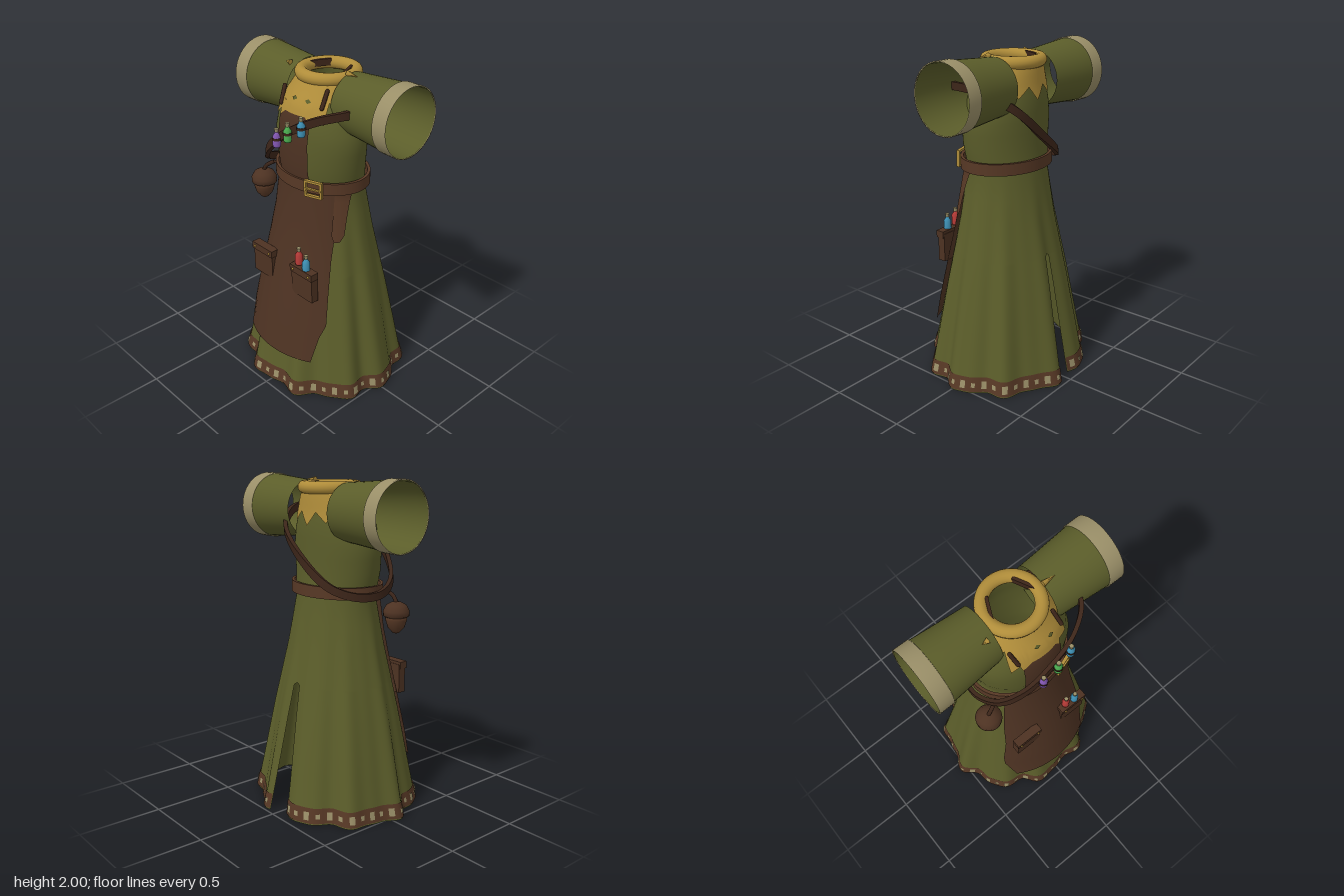
import * as THREE from 'three';
import { toCreasedNormals } from 'three/addons/utils/BufferGeometryUtils.js';

const material = (name, color) => new THREE.MeshStandardMaterial({ name, color, side: THREE.DoubleSide });
const M = {
  cloth: material('olive cloth', 0x5b5d2a),
  apron: material('apron leather', 0x4d3222),
  belt: material('belt leather', 0x573825),
  dark: material('dark leather', 0x3c2519),
  linen: material('pale linen', 0x9a8f68),
  gold: material('golden wool', 0xb08d3a),
  brass: material('brass', 0x92742c),
  red: material('red glass', 0xb83c38),
  blue: material('blue glass', 0x3f93b8),
  green: material('green glass', 0x4cae50),
};
const purple = material('purple glass', 0x8458b4);
// the brass fittings share the wool colour family, so the palette stays at ten
M.purple = purple;
M.brass = M.gold;

// robe sections: height, half width, half depth, centre z
const SECTIONS = [
  [0, 0.52, 0.46, 0], [0.1, 0.5, 0.44, 0], [0.6, 0.405, 0.347, 0], [1, 0.32, 0.264, 0],
  [1.3, 0.267, 0.215, 0], [1.45, 0.29, 0.222, 0.015], [1.6, 0.302, 0.224, 0.015],
  [1.7, 0.278, 0.22, 0.01], [1.8, 0.235, 0.2, 0], [1.88, 0.192, 0.172, -0.025], [1.94, 0.155, 0.152, -0.04],
];

function section(y) {
  let i = 0;
  while (i < SECTIONS.length - 2 && y > SECTIONS[i + 1][0]) i++;
  const a = SECTIONS[i], b = SECTIONS[i + 1], t = (y - a[0]) / (b[0] - a[0]);
  return a.map((v, k) => v + (b[k] - v) * t);
}

// point on the robe; angle 0 is the front, growing toward +x
function onRobe(angle, y, off = 0, folded = true) {
  const [, rx, rz, cz] = section(y);
  const amp = folded ? 0.03 * Math.pow(Math.max(0, 1 - y / 1.25), 1.1) : 0;
  const wave = amp * (0.75 * Math.cos(10 * (angle - 0.4)) + 0.3 * Math.sin(17 * angle + 1)) + off;
  return [Math.sin(angle) * (rx + wave), y, Math.cos(angle) * (rz + wave) + cz];
}
const atX = (x, y, off) => onRobe(Math.asin(x / section(y)[1]), y, off, false);

// surface from a rule fn(u, v) with u, v in 0..1
function grid(nu, nv, fn) {
  const pos = [], index = [];
  for (let j = 0; j <= nv; j++) for (let i = 0; i <= nu; i++) pos.push(...fn(i / nu, j / nv));
  for (let j = 0; j < nv; j++) for (let i = 0; i < nu; i++) {
    const a = j * (nu + 1) + i, b = a + nu + 1;
    index.push(a, a + 1, b, a + 1, b + 1, b);
  }
  const g = new THREE.BufferGeometry();
  g.setAttribute('position', new THREE.Float32BufferAttribute(pos, 3));
  g.setIndex(index);
  g.computeVertexNormals();
  return g;
}

// rectangular leather band along a closed curve around the body
function band(points, width, thick) {
  const curve = new THREE.CatmullRomCurve3(points.map(p => new THREE.Vector3(...p)), true);
  const corners = [[-1, 1], [1, 1], [1, -1], [-1, -1], [-1, 1]];
  return toCreasedNormals(grid(96, 4, (u, v) => {
    const p = curve.getPointAt(u % 1), t = curve.getTangentAt(u % 1);
    const n = new THREE.Vector3(p.x, 0, p.z).addScaledVector(t, -t.dot(new THREE.Vector3(p.x, 0, p.z))).normalize();
    const w = n.clone().cross(t), c = corners[Math.round(v * 4)];
    return p.addScaledVector(w, c[0] * width / 2).addScaledVector(n, c[1] * thick / 2).toArray();
  }), 0.7);
}

const lathe = (pts, n = 24) => new THREE.LatheGeometry(pts.map(p => new THREE.Vector2(...p)), n);

export function createModel() {
  const model = new THREE.Group();
  const add = (name, geo, mat, pos = [0, 0, 0], rot = [0, 0, 0], parent = model) => {
    const m = new THREE.Mesh(geo, mat);
    m.name = name;
    m.position.set(...pos);
    m.rotation.set(...rot);
    parent.add(m);
    return m;
  };

  // robe with a slit at the back
  const slit = y => (y < 0.79 ? (0.016 + 0.036 * (1 - y / 0.79)) / section(y)[2] : 0);
  const around = (u, y, off) => onRobe((2 * u - 1) * (Math.PI - slit(y)), y, off);
  const ys = [0, 0.05, 0.1, 0.25, 0.4, 0.6, 0.78, 0.795, 1, 1.15, 1.3, 1.38, 1.45, 1.53, 1.6, 1.65, 1.7, 1.75, 1.8, 1.84, 1.88, 1.94];
  add('robe', grid(180, ys.length - 1, (u, v) => around(u, ys[Math.round(v * (ys.length - 1))], 0)), M.cloth);

  // hem trim with stitched motifs
  add('hemTrim', grid(180, 2, (u, v) => around(u, 0.01 + 0.09 * v, 0.006)), M.belt);
  for (let i = 0; i < 44; i++) {
    const c = (i + 0.5) / 44, w = i % 2 ? 0.004 : 0.0055, h = i % 2 ? 0.014 : 0.024;
    add('hemMotif', grid(4, 1, (u, v) => around(c + (u - 0.5) * 2 * w, 0.054 + (v - 0.5) * 2 * h, 0.011)), M.linen);
  }

  // sleeves and cuffs
  for (const s of [-1, 1]) {
    const rot = [0, 0, -s * Math.PI / 2], pos = [0, 1.8, -0.05];
    add('sleeve', lathe([[0.168, 0.18], [0.175, 0.28], [0.186, 0.42], [0.194, 0.52], [0.195, 0.608]], 48), M.cloth, pos, rot);
    add('cuff', lathe([[0.195, 0.515], [0.2, 0.518], [0.201, 0.61], [0.195, 0.61]], 48), M.linen, pos, rot);
  }

  // ragged mantle: angle in degrees, lower edge height
  const RAGS = [[-180, 1.72], [-165, 1.8], [-150, 1.74], [-135, 1.82], [-115, 1.77], [-90, 1.85], [-65, 1.8], [-50, 1.84],
    [-40, 1.7], [-30, 1.74], [-17.5, 1.61], [-10, 1.72], [10, 1.72], [17.5, 1.65], [27.5, 1.74], [42.5, 1.72], [50, 1.83],
    [65, 1.8], [90, 1.85], [115, 1.77], [135, 1.82], [150, 1.74], [165, 1.8], [180, 1.72]];
  const ragEdge = d => {
    const i = Math.max(1, RAGS.findIndex(r => r[0] >= d - 1e-6)), a = RAGS[i - 1], b = RAGS[i];
    return a[1] + (b[1] - a[1]) * (d - a[0]) / (b[0] - a[0]);
  };
  add('mantle', grid(144, 8, (u, v) => {
    const d = -180 + 360 * u, low = ragEdge(d);
    return onRobe(d * Math.PI / 180, low + (1.94 - low) * v, 0.01);
  }), M.gold);
  add('collar', new THREE.TorusGeometry(0.155, 0.037, 16, 48), M.gold, [0, 1.935, -0.04], [Math.PI / 2, 0, 0]);
  add('tuft', new THREE.ConeGeometry(0.018, 0.08, 5), M.gold, [0.22, 1.97, -0.01], [0, 0, -Math.PI / 2]);
  add('tuft', new THREE.ConeGeometry(0.018, 0.04, 5), M.gold, [-0.24, 1.95, 0.05], [0, 0, Math.PI / 2]);

  // mantle toggles and lozenge cutouts
  add('toggle', new THREE.CapsuleGeometry(0.012, 0.1, 4, 8), M.dark, atX(-0.14, 1.81, 0.02), [-0.5, 0, 0.2]);
  add('toggle', new THREE.CapsuleGeometry(0.012, 0.1, 4, 8), M.dark, atX(0.14, 1.85, 0.025), [-0.6, 0, 0.15]);
  for (const x of [-0.02, 0.07]) {
    const d = add('lozenge', new THREE.CircleGeometry(0.02, 4), M.cloth, atX(x, 1.83, 0.016), [-0.56, x * 3, 0]);
    d.scale.y = 0.7;
  }
  for (const s of [-1, 1])
    add('collarStrap', new THREE.BoxGeometry(0.018, 0.04, 0.13), M.dark, [s * 0.112, 1.945, -0.08], [0, s * 0.45, 0]);

  // apron: height, right edge, left edge
  const APRON = [[0.25, -0.27, 0.26], [0.42, -0.31, 0.28], [0.5, -0.305, 0.3], [0.7, -0.27, 0.28], [0.9, -0.25, 0.26],
    [1.1, -0.225, 0.25], [1.34, -0.2, 0.23], [1.37, -0.12, 0.11], [1.45, -0.12, 0.112], [1.6, -0.12, 0.115], [1.71, -0.12, 0.115], [1.75, -0.07, 0.08]];
  add('apron', grid(20, APRON.length - 1, (u, v) => {
    const [y, a, b] = APRON[Math.round(v * (APRON.length - 1))];
    return atX(a + (b - a) * u, y, 0.014 + 0.022 * Math.max(0, 1 - y / 1.3));
  }), M.apron);

  // pockets with flaps and studs
  for (const [x, w] of [[-0.175, 0.17], [0.178, 0.176]]) {
    add('pocket', new THREE.BoxGeometry(w, 0.18, 0.05), M.apron, [x, 0.76, 0.318]);
    add('pocketFlap', new THREE.BoxGeometry(w + 0.012, 0.045, 0.055), M.apron, [x, 0.845, 0.324]);
    for (const s of [-1, 1])
      add('stud', new THREE.SphereGeometry(0.008, 8, 6), M.brass, [x + s * 0.066, 0.845, 0.352]);
  }

  // belt, buckle and hanging end
  const ring = Array.from({ length: 16 }, (_, i) => {
    const a = i * Math.PI / 8;
    return [0.305 * Math.sin(a), 1.345, 0.235 * Math.cos(a) + 0.008];
  });
  add('belt', band(ring, 0.07, 0.018), M.belt);
  const buckle = new THREE.Group();
  buckle.name = 'buckle';
  buckle.position.set(0.16, 1.342, 0.228);
  buckle.rotation.y = 0.32;
  model.add(buckle);
  for (const s of [-1, 1]) {
    add('buckleSide', new THREE.BoxGeometry(0.013, 0.1, 0.02), M.brass, [s * 0.05, 0, 0], [0, 0, 0], buckle);
    add('buckleBar', new THREE.BoxGeometry(0.1, 0.013, 0.02), M.brass, [0, s * 0.044, 0], [0, 0, 0], buckle);
  }
  add('bucklePin', new THREE.BoxGeometry(0.1, 0.009, 0.014), M.brass, [0, 0, 0.006], [0, 0, 0], buckle);
  add('beltEnd', grid(4, 8, (u, v) => {
    const y = 1.02 + 0.32 * v, x = 0.262 - 0.025 * v + (u - 0.5) * (v === 0 ? 0.02 : 0.042);
    return atX(Math.min(x, section(y)[1] * 0.98), y, 0.028);
  }), M.belt);

  // diagonal bandolier
  add('bandolier', band([[0.33, 1.81, 0.12], [0.2, 1.765, 0.235], [0, 1.65, 0.278], [-0.15, 1.53, 0.268], [-0.28, 1.4, 0.19],
    [-0.34, 1.335, 0.05], [-0.31, 1.33, -0.1], [-0.2, 1.38, -0.21], [0, 1.52, -0.25], [0.2, 1.69, -0.22], [0.31, 1.79, -0.08]], 0.046, 0.024), M.dark);

  // corked vials
  const vial = (mat, x, y, z, loop) => {
    const g = new THREE.Group();
    g.name = 'vial';
    g.position.set(x, y, z);
    model.add(g);
    add('glass', lathe([[0, 0], [0.021, 0.002], [0.023, 0.012], [0.023, 0.066], [0.012, 0.082], [0.012, 0.09], [0, 0.09]], 16), mat, [0, 0, 0], [0, 0, 0], g);
    add('cork', new THREE.CylinderGeometry(0.013, 0.01, 0.024, 10), M.linen, [0, 0.1, 0], [0, 0, 0], g);
    if (loop) add('loop', new THREE.CylinderGeometry(0.026, 0.026, 0.014, 16), M.dark, [0, 0.05, 0], [0, 0, 0], g);
  };
  vial(M.purple, -0.06, 1.555, 0.302, true);
  vial(M.green, 0.037, 1.617, 0.304, true);
  vial(M.blue, 0.132, 1.672, 0.288, true);
  vial(M.red, 0.132, 0.872, 0.32);
  vial(M.blue, 0.2, 0.852, 0.325);

  // acorn pouch on its cord
  add('acorn', lathe([[0, 1.085], [0.022, 1.093], [0.05, 1.125], [0.064, 1.17], [0.066, 1.2], [0, 1.2]]), M.belt, [-0.345, 0, 0.175]);
  add('acornCap', lathe([[0.06, 1.185], [0.077, 1.195], [0.078, 1.225], [0.06, 1.258], [0.03, 1.275], [0, 1.28]]), M.apron, [-0.345, 0, 0.175]);
  const cord = new THREE.CatmullRomCurve3([[-0.345, 1.27, 0.175], [-0.32, 1.31, 0.172], [-0.27, 1.345, 0.15]].map(p => new THREE.Vector3(...p)));
  add('acornCord', new THREE.TubeGeometry(cord, 8, 0.012, 8), M.dark);

  return model;
}
